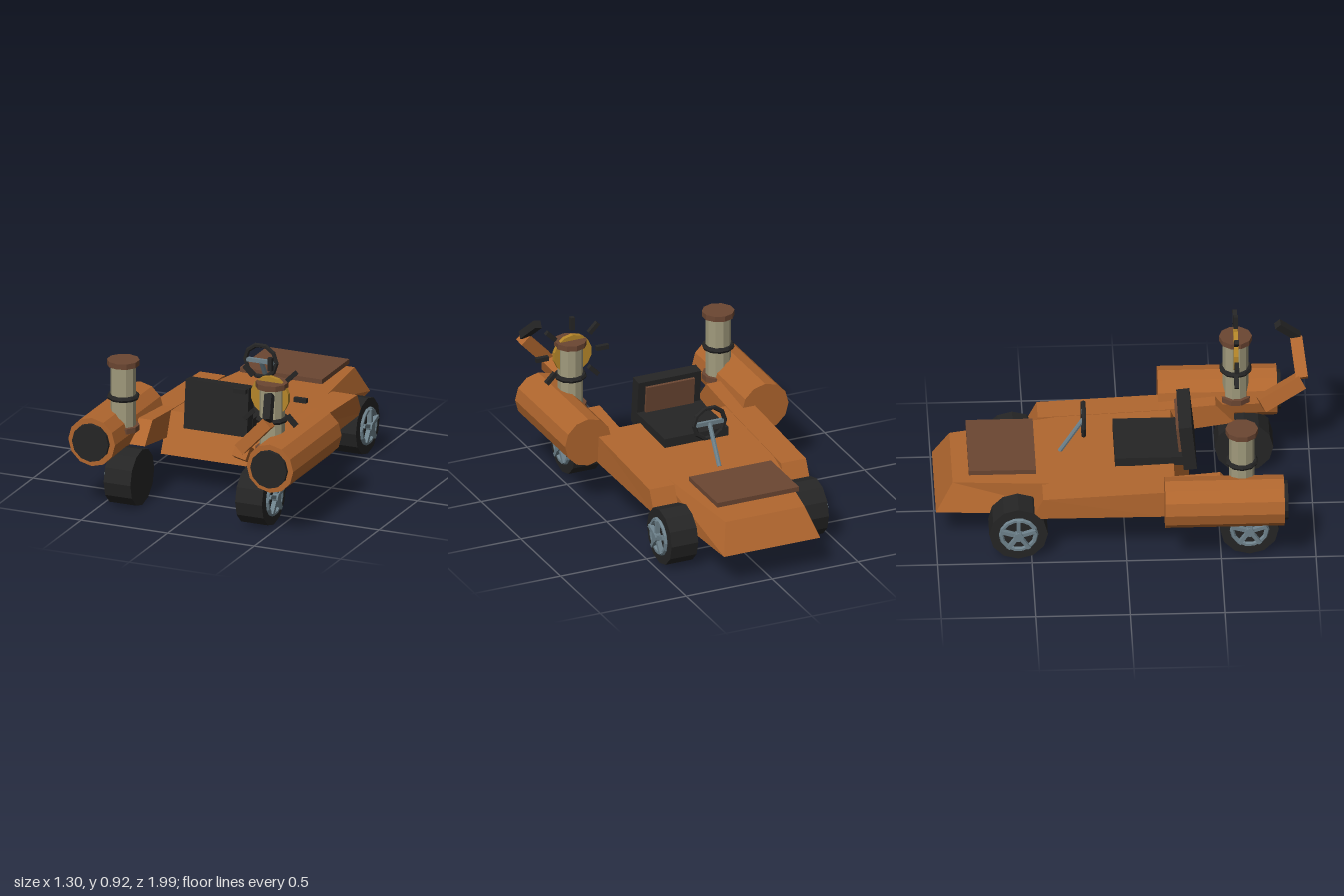
import * as THREE from 'three';

const mat = (name, color) => {
  const m = new THREE.MeshStandardMaterial({ color });
  m.name = name;
  return m;
};

export function createModel() {
  const root = new THREE.Group();
  root.name = 'openKart';
  const orange = mat('orangePaint', 0xb0662e);
  const black = mat('blackRubber', 0x252525);
  const brown = mat('darkBrown', 0x6b4632);
  const khaki = mat('khakiPipe', 0xa09a7c);
  const gold = mat('goldDisc', 0xb58629);
  const steel = mat('blueSteel', 0x6d818b);

  // Faceted mesh helper
  const add = (name, geo, material, pos = [0, 0, 0], rot = [0, 0, 0], parent = root) => {
    const g = geo.index ? geo.toNonIndexed() : geo;
    g.computeVertexNormals();
    const m = new THREE.Mesh(g, material);
    m.name = name;
    m.position.set(...pos);
    m.rotation.set(...rot);
    parent.add(m);
    return m;
  };
  const box = (w, h, d) => new THREE.BoxGeometry(w, h, d);
  const cyl = (r, h, n = 12) => new THREE.CylinderGeometry(r, r, h, n);

  // Joins four-cornered sections, ordered by z: bottom pair, then top pair
  const loft = (sections) => {
    const p = [];
    const tri = (...v) => v.forEach((c) => p.push(...c));
    const rings = sections.map(({ b, t }) => [
      [b[0], b[2], b[3]], [b[1], b[2], b[3]], [t[1], t[2], t[3]], [t[0], t[2], t[3]],
    ]);
    for (let i = 0; i < rings.length - 1; i++) {
      const a = rings[i], c = rings[i + 1];
      for (let j = 0; j < 4; j++) {
        const k = (j + 1) % 4;
        tri(a[j], a[k], c[k]);
        tri(a[j], c[k], c[j]);
      }
    }
    const f = rings[0], l = rings[rings.length - 1];
    tri(f[0], f[2], f[1]); tri(f[0], f[3], f[2]);
    tri(l[0], l[1], l[2]); tri(l[0], l[2], l[3]);
    const g = new THREE.BufferGeometry();
    g.setAttribute('position', new THREE.Float32BufferAttribute(p, 3));
    return g;
  };

  // Square or round bar between two points
  const bar = (name, a, b, geoFor, material) => {
    const A = new THREE.Vector3(...a), d = new THREE.Vector3(...b).sub(A);
    const m = add(name, geoFor(d.length()), material);
    m.position.copy(A).addScaledVector(d, 0.5);
    m.quaternion.setFromUnitVectors(new THREE.Vector3(0, 1, 0), d.normalize());
    return m;
  };

  // Wedge body; each row is left x, right x, y, z
  add('body', loft([
    { b: [-0.28, 0.28, 0.185, -1], t: [-0.23, 0.23, 0.34, -0.91] },
    { b: [-0.33, 0.33, 0.185, -0.24], t: [-0.325, 0.325, 0.377, -0.24] },
    { b: [-0.33, 0.33, 0.185, 0.35], t: [-0.325, 0.325, 0.4, 0.26] },
  ]), orange);
  add('hoodPlate', box(0.475, 0.026, 0.355), brown, [0, 0.402, -0.647]);

  for (const s of [1, -1]) {
    const side = s > 0 ? 'left' : 'right';
    const xs = (i, o) => (s > 0 ? [i, o] : [-o, -i]);

    // Side pod reaching from the tail wheel to the tank
    add(side + 'SidePod', loft([
      { b: [...xs(0.31, 0.455), 0.25, -0.5], t: [...xs(0.31, 0.455), 0.37, -0.44] },
      { b: [...xs(0.31, 0.46), 0.25, 0.2], t: [...xs(0.31, 0.455), 0.4, 0.2] },
      { b: [...xs(0.31, 0.45), 0.31, 0.6], t: [...xs(0.31, 0.45), 0.425, 0.5] },
    ]), orange);

    // Tank with dark end cap
    add(side + 'Tank', cyl(0.135, 0.63), orange, [s * 0.515, 0.38, 0.515], [Math.PI / 2, 0, 0]);
    add(side + 'TankCap', cyl(0.105, 0.03), black, [s * 0.515, 0.38, 0.835], [Math.PI / 2, 0, 0]);

    // Smoke stack
    const stack = new THREE.Group();
    stack.name = side + 'Stack';
    stack.position.set(s * 0.43, 0, 0.61);
    root.add(stack);
    add('stackPipe', cyl(0.068, 0.36, 10), khaki, [0, 0.58, 0], [0, 0, 0], stack);
    add('stackLid', cyl(0.087, 0.03, 10), brown, [0, 0.77, 0], [0, 0, 0], stack);
    add('stackBase', cyl(0.087, 0.03, 10), brown, [0, 0.407, 0], [0, 0, 0], stack);
    add('stackRing', new THREE.TorusGeometry(0.073, 0.015, 6, 10), black,
      [0, 0.58, 0], [Math.PI / 2, 0, 0], stack);

    // Wheels with five-spoke rims on the outside
    for (const [place, z] of [['Front', 0.65], ['Tail', -0.57]]) {
      const wheel = new THREE.Group();
      wheel.name = side + place + 'Wheel';
      wheel.position.set(s * 0.38, 0.155, z);
      wheel.rotation.y = s * Math.PI / 2;
      root.add(wheel);
      add('tyre', cyl(0.155, 0.155), black, [0, 0, 0], [Math.PI / 2, 0, 0], wheel);
      add('rim', new THREE.TorusGeometry(0.092, 0.013, 6, 14), steel, [0, 0, 0.08], [0, 0, 0], wheel);
      add('hub', cyl(0.026, 0.04, 10), steel, [0, 0, 0.092], [Math.PI / 2, 0, 0], wheel);
      for (let i = 0; i < 5; i++) {
        const a = Math.PI / 2 + i * Math.PI * 0.4;
        add('spoke', box(0.09, 0.02, 0.025), steel,
          [Math.cos(a) * 0.05, Math.sin(a) * 0.05, 0.09], [0, 0, a], wheel);
      }
    }
  }

  // Seat
  add('seatCushion', box(0.37, 0.05, 0.36), black, [0, 0.415, 0.13]);
  const back = new THREE.Group();
  back.name = 'seatBack';
  back.position.set(0, 0.49, 0.335);
  back.rotation.x = -0.1;
  root.add(back);
  add('backrest', box(0.365, 0.268, 0.07), black, [0, 0, 0], [0, 0, 0], back);
  add('backrestPanel', box(0.28, 0.15, 0.016), brown, [0, 0.03, -0.043], [0, 0, 0], back);

  // Steering
  add('steeringWheel', new THREE.TorusGeometry(0.09, 0.013, 6, 10), black, [0, 0.57, -0.21]);
  add('steeringCrossbar', box(0.18, 0.022, 0.018), steel, [0, 0.57, -0.21]);
  bar('steeringColumn', [0, 0.57, -0.21], [0, 0.37, -0.335], (h) => cyl(0.013, h, 8), steel);

  // Gold disc with a ring of dark rays
  const sun = new THREE.Group();
  sun.name = 'sunDisc';
  sun.position.set(0.42, 0.705, 0.61);
  root.add(sun);
  add('disc', cyl(0.11, 0.024, 14), gold, [0, 0, 0], [Math.PI / 2, 0, 0], sun);
  for (let i = 0; i < 8; i++) {
    const a = i * Math.PI / 4;
    add('ray', box(0.072, 0.024, 0.024), black,
      [Math.cos(a) * 0.175, Math.sin(a) * 0.175, 0], [0, 0, a], sun);
  }

  // Jointed arm on the left tank
  const beam = (w) => (h) => box(w, h, w);
  bar('upperArm', [0.33, 0.41, 0.74], [0.405, 0.505, 0.955], beam(0.078), orange);
  bar('forearm', [0.405, 0.52, 0.96], [0.555, 0.68, 0.935], beam(0.065), orange);
  bar('armGrip', [0.552, 0.69, 0.945], [0.515, 0.795, 0.835], beam(0.042), black);

  return root;
}
